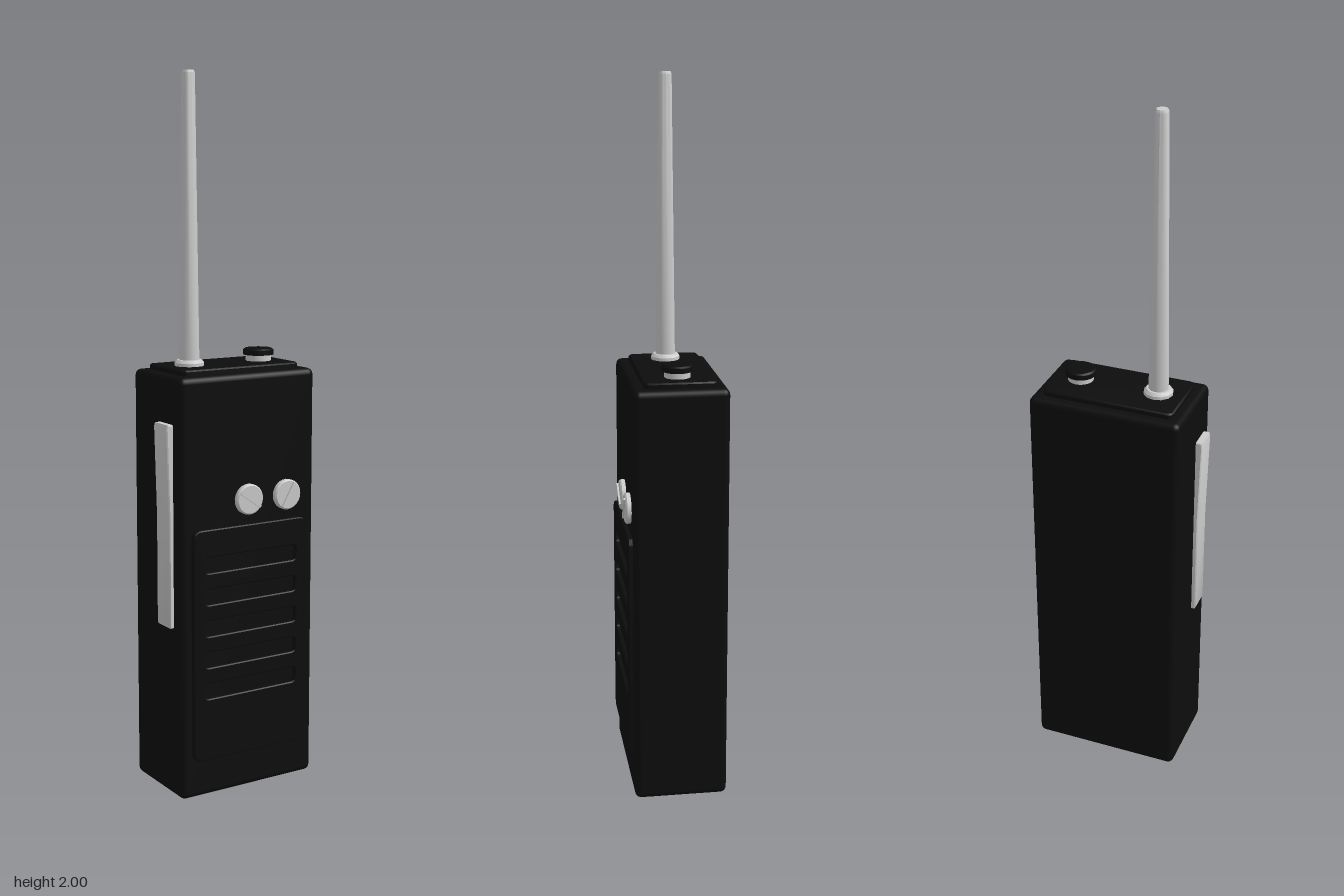
import * as THREE from 'three';
import { RoundedBoxGeometry } from 'three/addons/geometries/RoundedBoxGeometry.js';
import { toCreasedNormals } from 'three/addons/utils/BufferGeometryUtils.js';

const grey = new THREE.MeshStandardMaterial({ color: 0xcccccc });
const black = new THREE.MeshStandardMaterial({ color: 0x0d0d0d });

function add(parent, name, geometry, material, x = 0, y = 0, z = 0) {
  const mesh = new THREE.Mesh(geometry, material);
  mesh.name = name;
  mesh.position.set(x, y, z);
  parent.add(mesh);
  return mesh;
}

// Rounded rectangle centred on (cx, cy), drawn into a Shape or Path
function roundRect(path, cx, cy, w, h, r) {
  const x = w / 2 - r, y = h / 2 - r;
  path.absarc(cx + x, cy + y, r, 0, Math.PI / 2);
  path.absarc(cx - x, cy + y, r, Math.PI / 2, Math.PI);
  path.absarc(cx - x, cy - y, r, Math.PI, Math.PI * 1.5);
  path.absarc(cx + x, cy - y, r, Math.PI * 1.5, Math.PI * 2);
  path.closePath();
  return path;
}

function extrude(shape, depth, bevel) {
  const g = new THREE.ExtrudeGeometry(shape, {
    depth: depth - bevel, curveSegments: 4, bevelEnabled: bevel > 0,
    bevelSize: bevel, bevelThickness: bevel, bevelOffset: -bevel, bevelSegments: 1,
  });
  return toCreasedNormals(g, 0.6);
}

function lathe(points, sides) {
  const g = new THREE.LatheGeometry(points.map(([r, y]) => new THREE.Vector2(r, y)), sides);
  return toCreasedNormals(g, 0.6);
}

export function createModel() {
  const radio = new THREE.Group();
  radio.name = 'handheldRadio';

  // Case and raised top plate
  add(radio, 'body', new RoundedBoxGeometry(0.437, 1.19, 0.262, 3, 0.018), black, 0.0085, 0.595, -0.011);
  const top = extrude(roundRect(new THREE.Shape(), 0, 0, 0.377, 0.2, 0.018), 0.02, 0.004);
  top.rotateX(-Math.PI / 2);
  add(radio, 'topPlate', top, black, 0.0085, 1.185, -0.013);

  // Front panel with speaker slots
  const panel = roundRect(new THREE.Shape(), 0.0085, 0.44, 0.373, 0.66, 0.025);
  for (let i = 0; i < 5; i++) {
    panel.holes.push(roundRect(new THREE.Path(), 0.0085, 0.67 - i * 0.09, 0.3, 0.045, 0.012));
  }
  add(radio, 'speakerPanel', extrude(panel, 0.016, 0.003), black, 0, 0, 0.117);

  // Two front dials, each with a finger ridge
  [[0.004, -0.6], [0.13, 1.05]].forEach(([x, angle], i) => {
    const dial = new THREE.Group();
    dial.name = i ? 'leftDial' : 'rightDial';
    dial.position.set(x, 0.84, 0.118);
    dial.rotation.z = angle;
    const disc = lathe([[0, 0], [0.043, 0], [0.043, 0.013], [0.039, 0.017], [0, 0.017]], 24);
    add(dial, 'dialDisc', disc.rotateX(Math.PI / 2), grey);
    add(dial, 'dialRidge', new THREE.BoxGeometry(0.076, 0.008, 0.01), grey, 0, 0, 0.017);
    radio.add(dial);
  });

  // Push-to-talk bar, kinked outward towards its top
  const bar = new THREE.Shape([
    [-0.2, 0.49], [-0.2, 1.06], [-0.226, 1.06], [-0.229, 1.05],
    [-0.222, 0.8], [-0.222, 0.495], [-0.219, 0.49],
  ].map(([x, y]) => new THREE.Vector2(x, y)));
  add(radio, 'talkBar', extrude(bar, 0.069, 0.003), grey, 0, 0, 0.009);

  // Antenna with its collar
  add(radio, 'antennaCollar', lathe([[0, 0], [0.041, 0], [0.041, 0.012], [0.034, 0.02], [0, 0.02]], 12),
    grey, -0.105, 1.202, -0.011);
  add(radio, 'antenna', lathe([[0, 0], [0.028, 0], [0.018, 0.778], [0.015, 0.785], [0, 0.785]], 12),
    grey, -0.105, 1.215, -0.011);

  // Top knob: grey neck under a dark cap
  add(radio, 'knobNeck', new THREE.CylinderGeometry(0.036, 0.036, 0.022, 20), grey, 0.123, 1.213, -0.012);
  add(radio, 'knobCap', lathe([[0, 0], [0.043, 0], [0.043, 0.014], [0.038, 0.018], [0, 0.018]], 20),
    black, 0.123, 1.222, -0.012);

  return radio;
}
